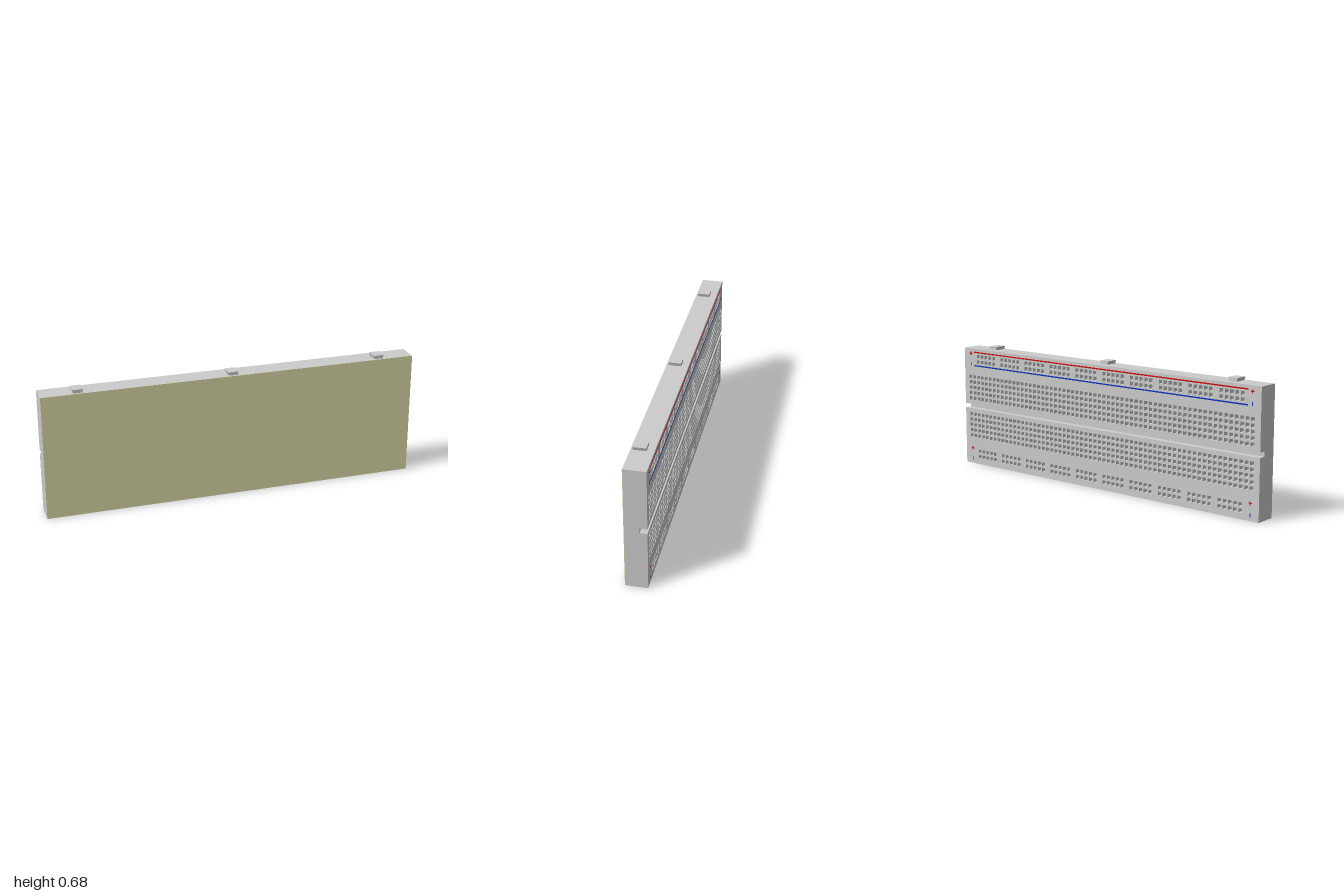
import * as THREE from 'three';

const H = 0.662, MID = H / 2, PITCH = 0.0308, HOLE = 0.0205;
const BACK = -0.057, FLOOR = -0.02, POCKET = 0.045, FRONT = 0.057;
const CONNECTORS = [-0.81, 0, 0.81];

const material = (color = 0xcccccc) => new THREE.MeshStandardMaterial({ color, flatShading: true });
const grey = material(), yellow = material(0xdddcaa), red = material(0xcc1111), blue = material(0x1133bb);

export function createModel() {
  const group = new THREE.Group();

  const add = (name, geometry, mat = grey) => {
    const mesh = new THREE.Mesh(geometry, mat);
    mesh.name = name;
    group.add(mesh);
    return mesh;
  };
  const box = (name, x0, x1, y0, y1, z0, z1, mat) =>
    add(name, new THREE.BoxGeometry(x1 - x0, y1 - y0, z1 - z0), mat)
      .position.set((x0 + x1) / 2, (y0 + y1) / 2, (z0 + z1) / 2);
  const extrude = (name, shape, z0, z1) => {
    const geometry = new THREE.ExtrudeGeometry(shape, { depth: z1 - z0, bevelEnabled: false });
    add(name, geometry.translate(0, 0, z0));
  };
  const polygon = (points) => new THREE.Shape(points.map(([x, y]) => new THREE.Vector2(x, y)));

  // Core slab, with dovetail sockets cut into its underside
  const outline = [[-1, 0]];
  for (const x of CONNECTORS) {
    outline.push([x - 0.026, 0], [x - 0.031, 0.021], [x + 0.031, 0.021], [x + 0.026, 0]);
  }
  outline.push([1, 0], [1, H], [-1, H]);
  extrude('core', polygon(outline), FLOOR, POCKET);
  box('frontWall', -1, 1, 0, H, POCKET, FRONT - 0.002);
  box('adhesiveSheet', -1, 1, 0, H, FRONT - 0.002, FRONT, yellow);

  // Dovetail tabs on the top edge
  for (const x of CONNECTORS) {
    const tab = polygon([[x - 0.023, H], [x + 0.023, H], [x + 0.028, 0.68], [x - 0.028, 0.68]]);
    extrude('connectorTab', tab, FLOOR, POCKET);
  }

  // Two contact plates with square holes; the gap between them is the centre channel
  const contactPlate = (name, side) => {
    const inner = MID + side * 0.0125, outer = side > 0 ? H : 0;
    const y0 = Math.min(inner, outer), y1 = Math.max(inner, outer);
    const plate = polygon([[-1, y0], [1, y0], [1, y1], [-1, y1]]);
    const punch = (x, offset) => {
      const y = MID + side * offset, r = HOLE / 2;
      plate.holes.push(new THREE.Path([
        new THREE.Vector2(x - r, y - r), new THREE.Vector2(x - r, y + r),
        new THREE.Vector2(x + r, y + r), new THREE.Vector2(x + r, y - r),
      ]));
    };
    // Terminal rows
    for (let col = 0; col < 63; col++) {
      for (let row = 0; row < 5; row++) punch((col - 31) * PITCH, (1.5 + row) * PITCH);
    }
    // Power rails in ten groups of five
    for (let set = 0; set < 10; set++) {
      for (let i = 0; i < 5; i++) {
        for (const offset of [0.257, 0.288]) punch((set * 6 + i - 29) * PITCH, offset);
      }
    }
    extrude(name, plate, BACK, FLOOR);
  };
  contactPlate('upperContactPlate', 1);
  contactPlate('lowerContactPlate', -1);

  // Printed stripes and polarity marks on the contact face
  const print = (name, x, y, w, h, mat) =>
    box(name, x - w / 2, x + w / 2, y - h / 2, y + h / 2, BACK - 0.0008, BACK + 0.0005, mat);
  print('positiveStripe', 0, H - 0.02, 1.85, 0.007, red);
  print('negativeStripe', 0, H - 0.096, 1.85, 0.007, blue);
  for (const x of [-0.95, 0.95]) {
    for (const railY of [MID + 0.2725, MID - 0.2725]) {
      print('positiveMarkBar', x, railY + 0.03, 0.02, 0.005, red);
      print('positiveMarkStem', x, railY + 0.03, 0.005, 0.02, red);
      print('negativeMark', x, railY - 0.03, 0.005, 0.02, blue);
    }
  }
  return group;
}
